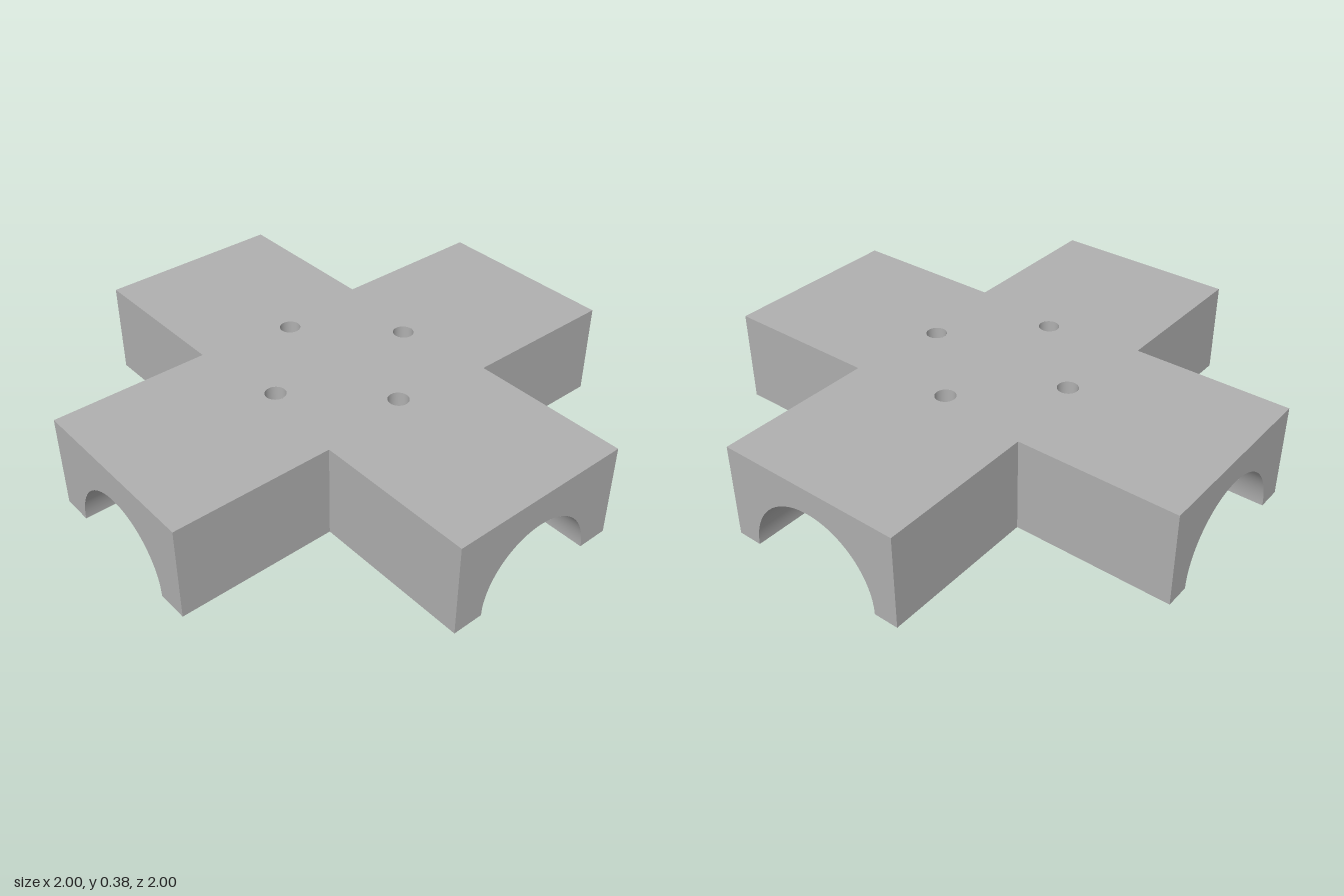
import * as THREE from 'three';
import { mergeGeometries } from 'three/addons/utils/BufferGeometryUtils.js';

const W = 0.373;          // half width of each arm
const H = 0.375;          // block height
const R = 0.275;          // wide bore, also the hub vault
const r = 0.25;           // narrow bore
const HOLE = 0.313, HR = 0.04; // bolt hole distance and radius

// Curved strip along z; each column is [x, zStart, zEnd] on a bore of the given radius
function boreStrip(radius, columns) {
  const pos = [], nor = [], idx = [];
  columns.forEach(([x, z0, z1], i) => {
    const y = Math.sqrt(Math.max(0, radius * radius - x * x));
    pos.push(x, y, z0, x, y, z1);
    nor.push(-x / radius, -y / radius, 0, -x / radius, -y / radius, 0);
    if (i) {
      const a = 2 * i - 2;
      idx.push(a, a + 2, a + 1, a + 2, a + 3, a + 1);
    }
  });
  const g = new THREE.BufferGeometry();
  g.setAttribute('position', new THREE.Float32BufferAttribute(pos, 3));
  g.setAttribute('normal', new THREE.Float32BufferAttribute(nor, 3));
  g.setIndex(idx);
  return g;
}

// x positions evenly spaced by angle on a bore
function arcXs(radius, from, to, n) {
  const a = Math.asin(from / radius), b = Math.asin(to / radius);
  return Array.from({ length: n + 1 }, (_, i) => radius * Math.sin(a + (b - a) * i / n));
}

// Quarter of the groin vault, pierced by a bolt hole
function vaultGeometry() {
  const whole = x => [x, Math.abs(x), W];
  const mid = Array.from({ length: 17 }, (_, i) => -HR * Math.cos(Math.PI * i / 16));
  const half = x => Math.sqrt(Math.max(0, HR * HR - x * x));
  return mergeGeometries([
    boreStrip(R, arcXs(R, -R, -HR, 24).map(whole)),
    boreStrip(R, mid.map(x => [x, Math.abs(x), HOLE - half(x)])),
    boreStrip(R, mid.map(x => [x, HOLE + half(x), W])),
    boreStrip(R, arcXs(R, HR, R, 24).map(whole)),
  ]);
}

// Wall of a bolt hole, its lower rim following the vault
function holeGeometry() {
  const g = new THREE.CylinderGeometry(HR, HR, H, 32, 1, true);
  const p = g.attributes.position;
  for (let i = 0; i < p.count; i++) {
    p.setY(i, p.getY(i) > 0 ? H : Math.sqrt(R * R - p.getX(i) ** 2));
  }
  return g.translate(0, 0, HOLE);
}

// Rectangular arm end with a half-round opening
function endGeometry(radius) {
  const s = new THREE.Shape();
  s.moveTo(radius, 0);
  s.lineTo(W, 0);
  s.lineTo(W, H);
  s.lineTo(-W, H);
  s.lineTo(-W, 0);
  s.lineTo(-radius, 0);
  s.absarc(0, 0, radius, Math.PI, 0, true);
  return new THREE.ShapeGeometry(s, 48).translate(0, 0, 1);
}

// Cross-shaped top with four round holes
function topGeometry() {
  const s = new THREE.Shape([
    [W, W], [W, 1], [-W, 1], [-W, W], [-1, W], [-1, -W],
    [-W, -W], [-W, -1], [W, -1], [W, -W], [1, -W], [1, W],
  ].map(([x, y]) => new THREE.Vector2(x, y)));
  for (const [x, y] of [[HOLE, 0], [-HOLE, 0], [0, HOLE], [0, -HOLE]]) {
    const h = new THREE.Path();
    h.absarc(x, y, HR, 0, Math.PI * 2, true);
    s.holes.push(h);
  }
  return new THREE.ShapeGeometry(s, 32).rotateX(-Math.PI / 2).translate(0, H, 0);
}

export function createModel() {
  const grey = new THREE.MeshStandardMaterial({ color: 0xb0b0b0, side: THREE.DoubleSide });
  grey.name = 'plain grey';
  const model = new THREE.Group();
  model.name = 'crossBlock';
  const add = (parent, name, geometry) => {
    const mesh = new THREE.Mesh(geometry, grey);
    mesh.name = name;
    parent.add(mesh);
  };

  add(model, 'topFace', topGeometry());

  // Arms in the order front, left, back, right
  const names = ['frontArm', 'leftArm', 'backArm', 'rightArm'];
  [r, R, R, r].forEach((bore, k) => {
    const arm = new THREE.Group();
    arm.name = names[k];
    arm.rotation.y = k * Math.PI / 2;
    model.add(arm);

    const len = 1 - W, mid = (1 + W) / 2;
    add(arm, 'endFace', endGeometry(bore));
    add(arm, 'channel', boreStrip(bore, arcXs(bore, -bore, bore, 48).map(x => [x, W, 1])));
    for (const s of [-1, 1]) {
      add(arm, 'sideWall', new THREE.PlaneGeometry(len, H)
        .rotateY(s * Math.PI / 2).translate(s * W, H / 2, mid));
      add(arm, 'foot', new THREE.PlaneGeometry(W - bore, len)
        .rotateX(Math.PI / 2).translate(s * (W + bore) / 2, 0, mid));
    }
    // Step where the narrow bore meets the hub
    if (bore < R) {
      add(arm, 'stopLip', new THREE.RingGeometry(bore, R, 48, 1, 0, Math.PI)
        .rotateY(Math.PI).translate(0, 0, W));
    }

    // Hub quarter
    add(arm, 'hubVault', vaultGeometry());
    add(arm, 'boltHole', holeGeometry());
    add(arm, 'hubFoot', new THREE.PlaneGeometry(W - R, W - R)
      .rotateX(Math.PI / 2).translate((W + R) / 2, 0, (W + R) / 2));
  });
  return model;
}
